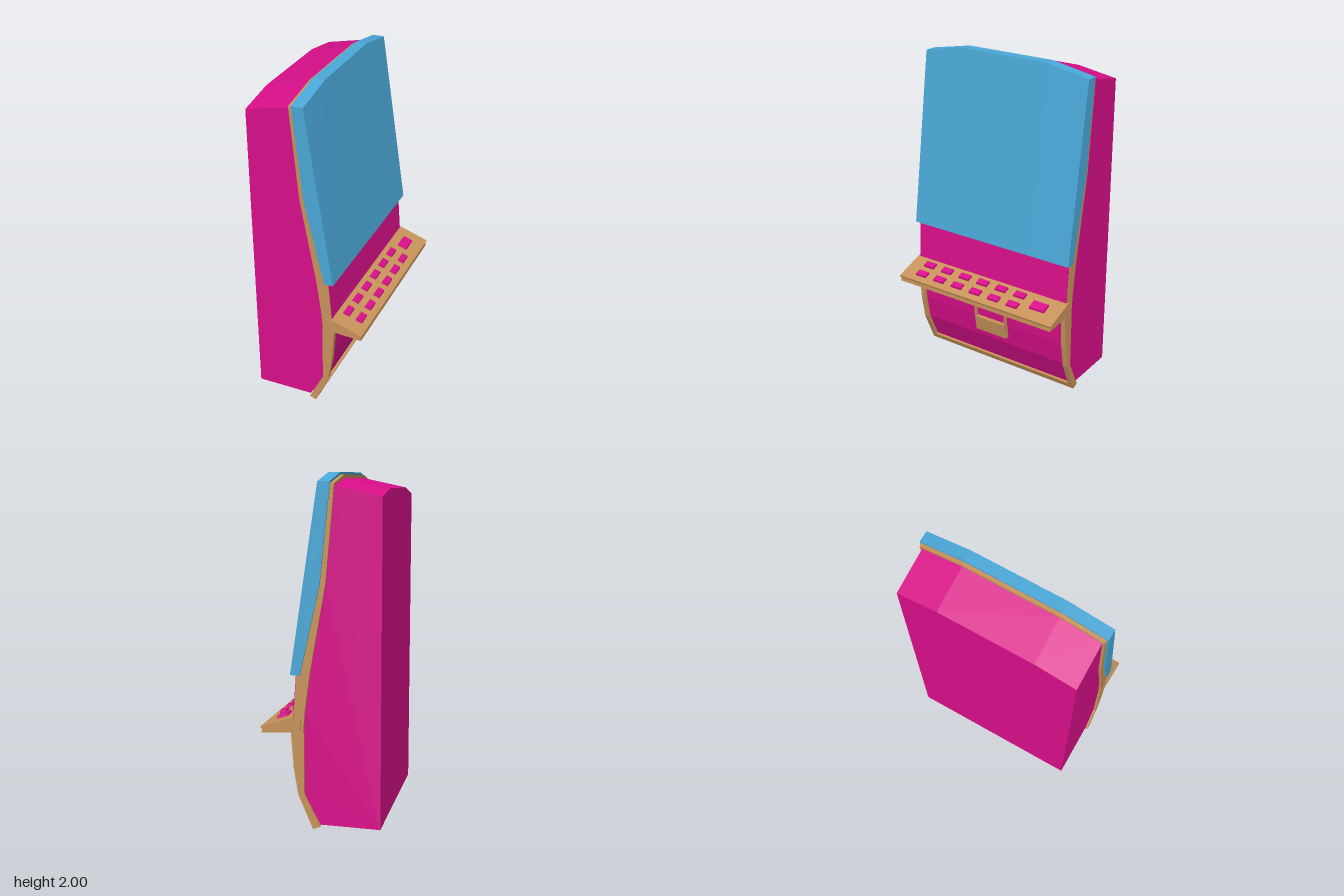
import * as THREE from 'three';

const magenta = new THREE.MeshStandardMaterial({ color: 0xd90f8a });
const tan = new THREE.MeshStandardMaterial({ color: 0xc8935a });
const blue = new THREE.MeshStandardMaterial({ color: 0x4aa8d8 });

// Side profile (x, y) extruded between z0 and z1
function slab(name, points, z0, z1, material) {
  const shape = new THREE.Shape(points.map(([x, y]) => new THREE.Vector2(x, y)));
  const geo = new THREE.ExtrudeGeometry(shape, { depth: z1 - z0, bevelEnabled: false });
  geo.translate(0, 0, z0);
  const mesh = new THREE.Mesh(geo, material);
  mesh.name = name;
  return mesh;
}

// Symmetrical slab whose top slopes down by `drop` outside |z| = 0.285
function crownedSlab(name, points, halfWidth, drop, material) {
  const shape = new THREE.Shape(points.map(([x, y]) => new THREE.Vector2(x, y)));
  const geo = new THREE.ExtrudeGeometry(shape, { depth: 3, steps: 3, bevelEnabled: false });
  const stations = [-halfWidth, -0.285, 0.285, halfWidth];
  const p = geo.attributes.position;
  for (let i = 0; i < p.count; i++) {
    const s = Math.round(p.getZ(i));
    if (p.getY(i) > 1.85 && (s === 0 || s === 3)) p.setY(i, p.getY(i) - drop);
    p.setZ(i, stations[s]);
  }
  geo.computeVertexNormals();
  const mesh = new THREE.Mesh(geo, material);
  mesh.name = name;
  return mesh;
}

// Tapered push button lying on the sloping shelf
function button(name, x, z, w, d) {
  const geo = new THREE.BoxGeometry(w, 0.02, d).toNonIndexed();
  const p = geo.attributes.position;
  for (let i = 0; i < p.count; i++) {
    if (p.getY(i) > 0) p.setXYZ(i, p.getX(i) * 0.85, p.getY(i), p.getZ(i) * 0.92);
  }
  geo.computeVertexNormals();
  const mesh = new THREE.Mesh(geo, magenta);
  mesh.name = name;
  mesh.position.set(x, 0.655 - (x - 0.15) * 0.332, z);
  mesh.rotation.z = -0.32;
  return mesh;
}

export function createModel() {
  const model = new THREE.Group();
  model.name = 'cabinet';

  // Main cabinet body
  model.add(crownedSlab('body', [
    [-0.345, 0.02], [0, 0.025], [0.09, 0.2], [0.093, 0.55], [0.085, 0.68], [0.055, 0.9],
    [-0.03, 1.4], [-0.08, 1.967], [-0.345, 1.91],
  ], 0.53, 0.04, magenta));

  // Upper trim band behind the display
  model.add(crownedSlab('upperTrim', [
    [0.095, 0.55], [0.15, 0.55], [0.15, 0.65], [0.131, 0.89], [0.112, 0.89], [-0.003, 1.4],
    [-0.06, 1.985], [-0.085, 1.985], [-0.035, 1.4], [0.055, 0.9], [0.085, 0.68],
  ], 0.545, 0.045, tan));

  // Lower frame: two side rails, sill and header
  const rail = [
    [0, 0.015], [0.04, 0], [0.125, 0.2], [0.15, 0.35], [0.165, 0.56], [0.09, 0.56], [0.09, 0.2],
  ];
  for (const s of [-1, 1]) {
    const [a, b] = [s * 0.515, s * 0.545].sort((m, n) => m - n);
    model.add(slab('lowerSideRail', rail, a, b, tan));
  }
  model.add(slab('sill', [[0, 0.015], [0.04, 0], [0.055, 0.035], [0.01, 0.035]], -0.515, 0.515, tan));
  model.add(slab('header', [[0.09, 0.52], [0.162, 0.52], [0.165, 0.56], [0.09, 0.56]], -0.515, 0.515, tan));

  // Recessed lower panel and the plain panel above the shelf
  model.add(slab('lowerPanel', [
    [0.005, 0.03], [0.035, 0.036], [0.105, 0.2], [0.13, 0.35], [0.143, 0.53], [0.09, 0.53], [0.085, 0.2],
  ], -0.515, 0.515, magenta));
  model.add(slab('upperPanel', [[0.14, 0.645], [0.153, 0.645], [0.134, 0.89], [0.12, 0.89]], -0.543, 0.543, magenta));

  // Return tray: cheeks, top lip and lower plate
  const cheek = [[0.11, 0.255], [0.14, 0.255], [0.157, 0.355], [0.165, 0.475], [0.125, 0.475]];
  model.add(slab('trayCheek', cheek, -0.113, -0.106, tan));
  model.add(slab('trayCheek', cheek, 0.106, 0.113, tan));
  model.add(slab('trayLip', [[0.125, 0.464], [0.164, 0.464], [0.165, 0.475], [0.125, 0.475]], -0.106, 0.106, tan));
  model.add(slab('trayPlate', [[0.11, 0.255], [0.14, 0.255], [0.157, 0.355], [0.12, 0.355]], -0.106, 0.106, tan));

  // Control shelf and the wedge that carries it
  model.add(slab('shelfBoard', [[0.148, 0.651], [0.34, 0.587], [0.335, 0.573], [0.148, 0.634]], -0.555, 0.555, tan));
  model.add(slab('shelfWedge', [
    [0.11, 0.64], [0.15, 0.638], [0.334, 0.578], [0.335, 0.55], [0.165, 0.56], [0.11, 0.56],
  ], -0.548, 0.548, tan));

  // Two rows of buttons and one large key
  for (let i = 0; i < 6; i++) {
    for (const x of [0.203, 0.282]) model.add(button('button', x, -0.256 + i * 0.135, 0.045, 0.077));
  }
  model.add(button('largeKey', 0.239, -0.411, 0.068, 0.106));

  // Tall display block with a crowned top
  model.add(crownedSlab('display', [
    [0.11, 0.887], [0.165, 0.89], [0.005, 2], [-0.064, 2], [-0.005, 1.4],
  ], 0.555, 0.05, blue));

  return model;
}
